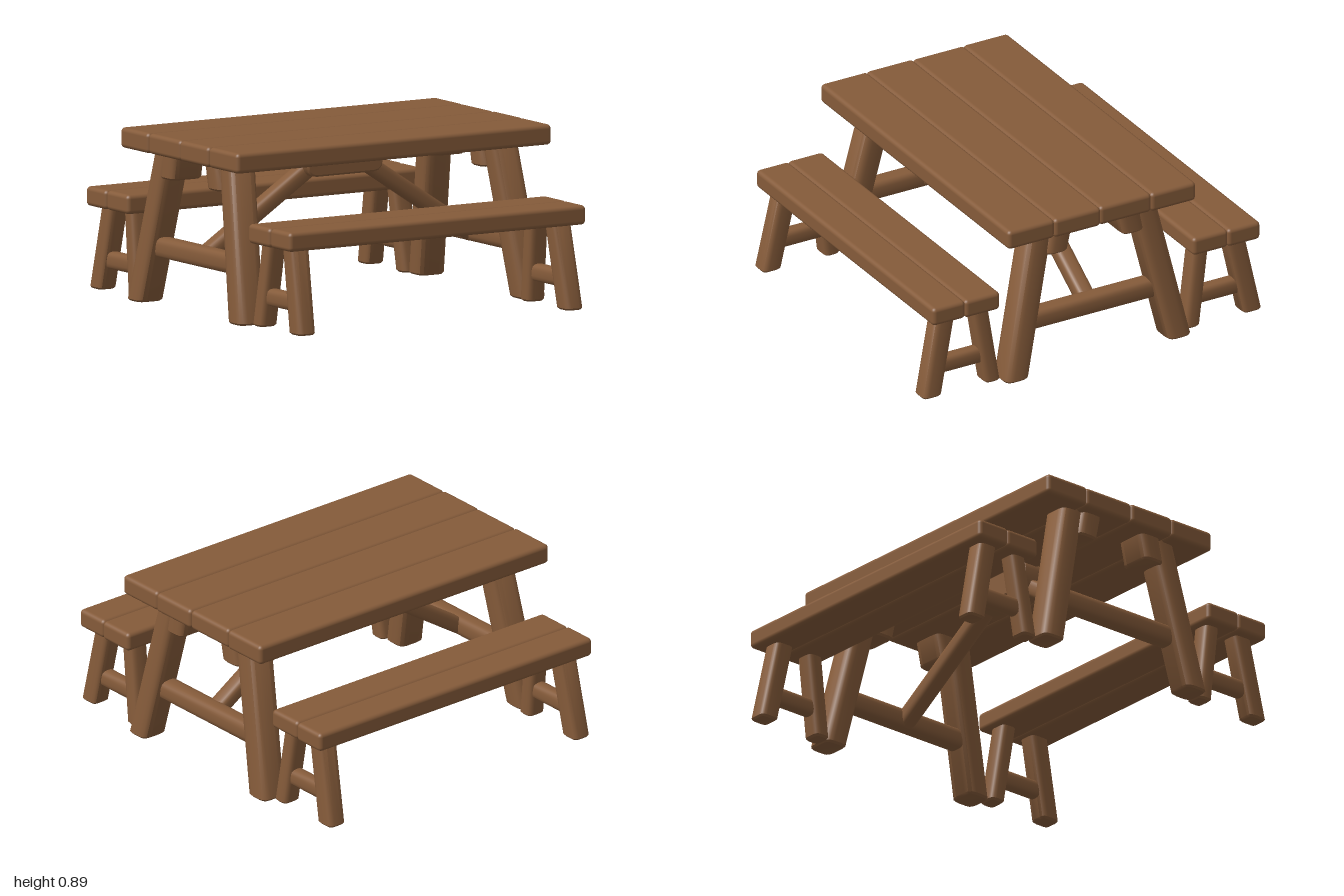
import * as THREE from 'three';
import { toCreasedNormals } from 'three/addons/utils/BufferGeometryUtils.js';
import { RoundedBoxGeometry } from 'three/addons/geometries/RoundedBoxGeometry.js';

const wood = new THREE.MeshStandardMaterial({ color: 0x855b3a });
wood.name = 'brown wood';

const V = (x, y, z) => new THREE.Vector3(x, y, z);

function roundedRect(w, h, r) {
  const s = new THREE.Shape();
  const x = w / 2, y = h / 2;
  s.moveTo(-x + r, -y);
  s.lineTo(x - r, -y).quadraticCurveTo(x, -y, x, -y + r);
  s.lineTo(x, y - r).quadraticCurveTo(x, y, x - r, y);
  s.lineTo(-x + r, y).quadraticCurveTo(-x, y, -x, y - r);
  s.lineTo(-x, -y + r).quadraticCurveTo(-x, -y, -x + r, -y);
  return s;
}

// Beam with a softened section spanned by u and v; its ends stay parallel to u and v
function beam(name, from, to, w, h, r, u, v, bevel = 0.01) {
  const axis = to.clone().sub(from);
  const len = axis.length();
  axis.normalize();
  const geo = new THREE.ExtrudeGeometry(roundedRect(w, h, r), {
    depth: len - 2 * bevel, curveSegments: 3,
    bevelThickness: bevel, bevelSize: bevel, bevelOffset: -bevel, bevelSegments: 1
  });
  geo.translate(0, 0, bevel);
  geo.applyMatrix4(new THREE.Matrix4().makeBasis(u, v, axis).setPosition(from));
  const mesh = new THREE.Mesh(toCreasedNormals(geo, 0.7), wood);
  mesh.name = name;
  return mesh;
}

// Upright post, sheared so that its foot stays flat on the ground
const post = (name, from, to, w, d, r) => beam(name, from, to, w, d, r, V(1, 0, 0), V(0, 0, -1));
// Level bar running along z
const crossbar = (name, x, y, z0, z1, w, h, r) =>
  beam(name, V(x, y, z0), V(x, y, z1), w, h, r, V(1, 0, 0), V(0, 1, 0));

// Row of planks along x between successive seams in z
function planks(name, seams, length, y0, y1) {
  const group = new THREE.Group();
  group.name = name;
  for (let i = 0; i < seams.length - 1; i++) {
    const d = seams[i + 1] - seams[i];
    const geo = new RoundedBoxGeometry(length - (i % 2) * 0.008, y1 - y0, d + 0.006, 3, 0.022);
    const plank = new THREE.Mesh(geo, wood);
    plank.name = 'plank';
    plank.position.set(0, (y0 + y1) / 2, (seams[i] + seams[i + 1]) / 2);
    group.add(plank);
  }
  return group;
}

export function createModel() {
  const model = new THREE.Group();
  model.name = 'picnicTable';

  // Tabletop and its central batten
  model.add(planks('tabletop', [-0.55, -0.29, 0.01, 0.28, 0.55], 1.91, 0.785, 0.89));
  model.add(crossbar('centreBatten', 0, 0.735, -0.09, 0.09, 0.46, 0.17, 0.06));

  for (const sx of [-1, 1]) {
    // Table trestle: splayed legs, lugs beside them, a stretcher and a diagonal brace
    for (const sz of [-1, 1]) {
      model.add(post('tableLeg', V(sx * 0.85, 0, sz * 0.48), V(sx * 0.79, 0.81, sz * 0.3), 0.155, 0.14, 0.045));
      model.add(post('legLug', V(sx * 0.795, 0.655, sz * 0.225), V(sx * 0.795, 0.82, sz * 0.19), 0.19, 0.13, 0.04));
    }
    model.add(crossbar('tableStretcher', sx * 0.82, 0.288, -0.4, 0.4, 0.1, 0.105, 0.035));
    const a = V(sx * 0.82, 0.268, 0), b = V(sx * 0.12, 0.723, 0);
    const u = V(0, 0, 1);
    const v = b.clone().sub(a).normalize().cross(u);
    model.add(beam('diagonalBrace', a, b, 0.095, 0.085, 0.03, u, v));
  }

  for (const sz of [-1, 1]) {
    // Bench seat on two small trestles
    const bench = new THREE.Group();
    bench.name = sz > 0 ? 'frontBench' : 'backBench';
    const seams = [0.573, 0.775, 0.962].map(z => z * sz);
    bench.add(planks('benchSeat', sz > 0 ? seams : seams.reverse(), 1.8, 0.43, 0.53));
    for (const sx of [-1, 1]) {
      bench.add(post('outerBenchLeg', V(sx * 0.808, 0, sz * 0.945), V(sx * 0.79, 0.46, sz * 0.85), 0.105, 0.11, 0.03));
      bench.add(post('innerBenchLeg', V(sx * 0.808, 0, sz * 0.588), V(sx * 0.79, 0.46, sz * 0.655), 0.105, 0.09, 0.03));
      bench.add(crossbar('benchStretcher', sx * 0.8, 0.155, sz * 0.765 - 0.15, sz * 0.765 + 0.15, 0.075, 0.09, 0.03));
    }
    model.add(bench);
  }
  return model;
}
